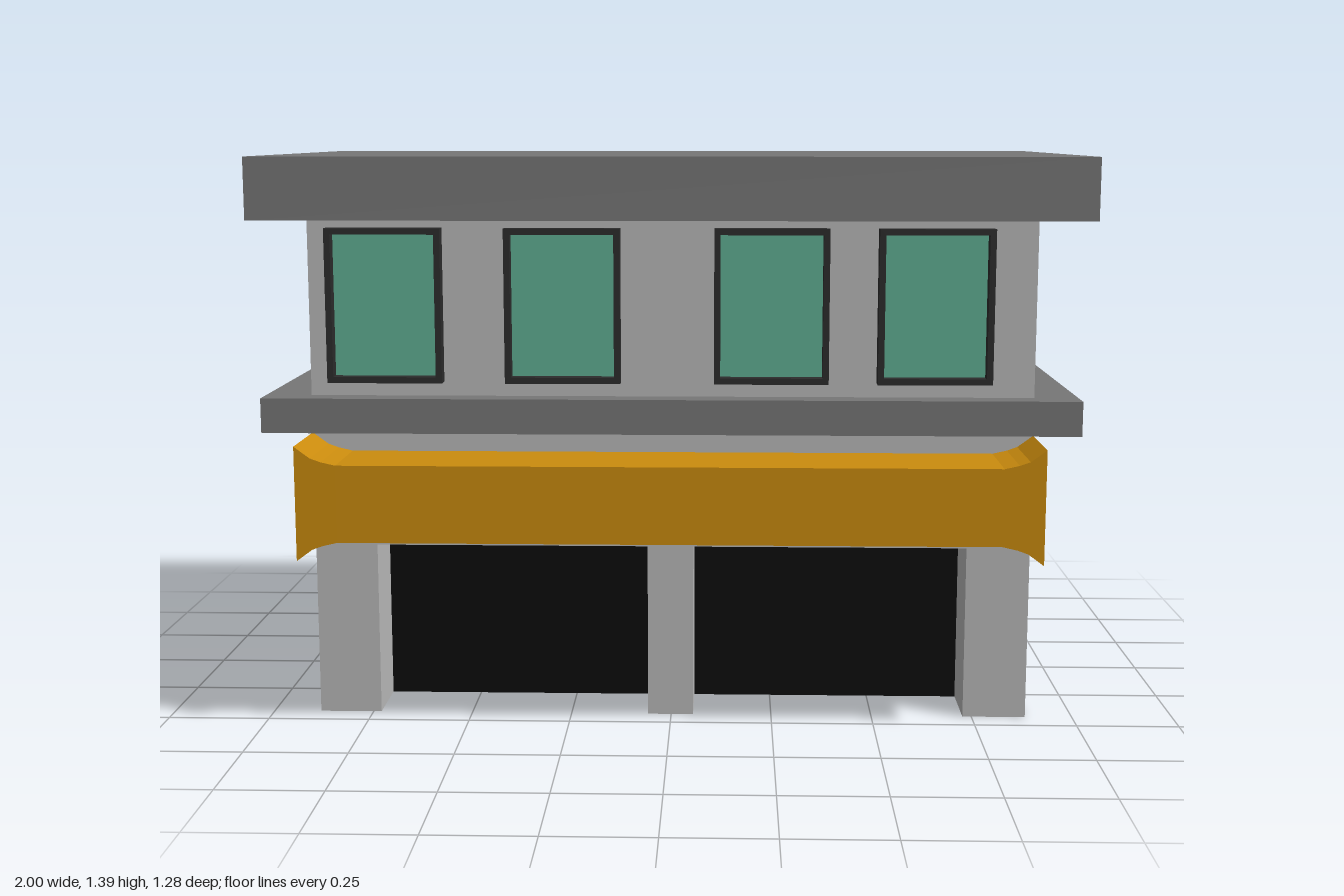
import * as THREE from 'three';

const mat = (name, color, side = THREE.FrontSide) => {
  const m = new THREE.MeshStandardMaterial({ color, side });
  m.name = name;
  return m;
};

export function createModel() {
  const wall = mat('light grey wall', 0xbababa, THREE.DoubleSide);
  const slab = mat('dark grey slab', 0x777777);
  const amber = mat('amber awning', 0xcb8c0e);
  const frameMat = mat('charcoal frame', 0x2c2c2c);
  const glass = mat('green glass', 0x60b094, THREE.DoubleSide);
  const black = mat('black door', 0x0c0c0c, THREE.DoubleSide);

  const model = new THREE.Group();
  model.name = 'shop';
  const add = (name, geometry, material, parent = model) => {
    const mesh = new THREE.Mesh(geometry, material);
    mesh.name = name;
    parent.add(mesh);
    return mesh;
  };
  const box = (name, [x0, x1], [y0, y1], [z0, z1], material) =>
    add(name, new THREE.BoxGeometry(x1 - x0, y1 - y0, z1 - z0), material)
      .position.set((x0 + x1) / 2, (y0 + y1) / 2, (z0 + z1) / 2);
  const panel = (name, w, h, [x, y, z], material, rx = 0, ry = 0) => {
    const mesh = add(name, new THREE.PlaneGeometry(w, h), material);
    mesh.position.set(x, y, z);
    mesh.rotation.set(rx, ry, 0);
  };
  const polygon = (points) => new THREE.Shape(points.map(([x, y]) => new THREE.Vector2(x, y)));
  const rectangle = (x0, x1, y0, y1) => polygon([[x0, y0], [x1, y0], [x1, y1], [x0, y1]]);

  const X = 0.883, front = 0.435, back = -0.577, top = 1.24;
  const doorH = 0.43, doorZ = 0.27;
  const doors = [[-0.73, -0.058], [0.055, 0.728]];

  // Hollow walls, open underneath, with two doorways notched into the front
  const outline = [[-X, 0]];
  for (const [a, b] of doors) outline.push([a, 0], [a, doorH], [b, doorH], [b, 0]);
  outline.push([X, 0], [X, top], [-X, top]);
  add('frontWall', new THREE.ShapeGeometry(polygon(outline)), wall).position.z = front;
  panel('backWall', 2 * X, top, [0, top / 2, back], wall, 0, Math.PI);
  for (const s of [-1, 1]) {
    panel('sideWall', front - back, top, [s * X, top / 2, (front + back) / 2], wall, 0, s * Math.PI / 2);
  }

  // Recessed doors with their reveals
  const depth = front - doorZ, midZ = (front + doorZ) / 2;
  for (const [a, b] of doors) {
    const mid = (a + b) / 2;
    panel('door', b - a, doorH, [mid, doorH / 2, doorZ], black);
    panel('doorReveal', depth, doorH, [a, doorH / 2, midZ], wall, 0, Math.PI / 2);
    panel('doorReveal', depth, doorH, [b, doorH / 2, midZ], wall, 0, -Math.PI / 2);
    panel('doorLintel', b - a, depth, [mid, doorH, midZ], wall, Math.PI / 2);
  }

  // Overhanging roof and mid-height ledge
  box('roof', [-1, 1], [1.238, 1.387], [back, 0.565], slab);
  box('ledge', [-0.995, 0.99], [0.72, 0.805], [-0.638, 0.497], slab);

  // Awning with flared ends, its back just inside the front wall
  const flare = [[0.883, 0.712], [0.845, 0.684], [0.82, 0.675], [0.785, 0.667]];
  const flip = 0.574 * 2;
  const upper = [...flare, ...flare.map(([x, y]) => [-x, y]).reverse()];
  const lower = upper.map(([x, y]) => [x, flip - y]).reverse();
  const awning = new THREE.ExtrudeGeometry(polygon([...upper, ...lower]), { depth: 0.209, bevelEnabled: false });
  add('awning', awning, amber).position.z = 0.433;

  // Windows: deep thin frames around set-back glass
  const y0 = 0.84, y1 = 1.215, rim = 0.015;
  for (const [a, b] of [[-0.835, -0.555], [-0.402, -0.122], [0.105, 0.382], [0.5, 0.777]]) {
    const shape = rectangle(a, b, y0, y1);
    shape.holes.push(rectangle(a + rim, b - rim, y0 + rim, y1 - rim));
    const frame = new THREE.ExtrudeGeometry(shape, { depth: 0.038, bevelEnabled: false });
    add('windowFrame', frame, frameMat).position.z = front;
    panel('windowGlass', b - a - 2 * rim, y1 - y0 - 2 * rim, [(a + b) / 2, (y0 + y1) / 2, front + 0.006], glass);
  }
  return model;
}
